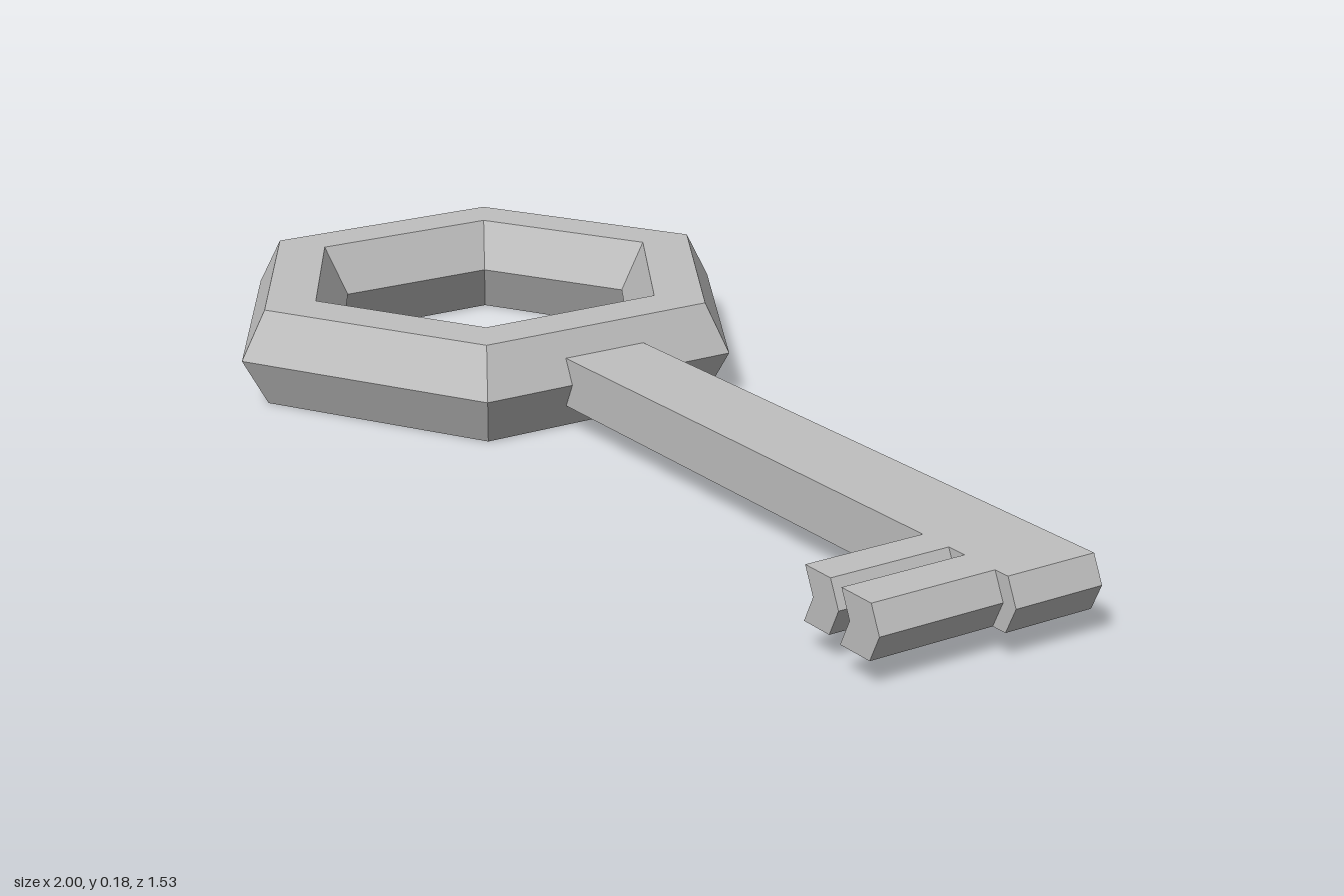
import * as THREE from 'three';

export function createModel() {
  const model = new THREE.Group();
  model.name = 'key';
  const metal = new THREE.MeshStandardMaterial({ color: 0xc0c0c0 });
  metal.name = 'grey metal';

  const addPart = (name, geometry, parent) => {
    const flat = geometry.index ? geometry.toNonIndexed() : geometry;
    flat.computeVertexNormals(); // faceted normals
    const mesh = new THREE.Mesh(flat, metal);
    mesh.name = name;
    parent.add(mesh);
  };

  // Everything is laid out around the centre of the hexagonal bow
  const key = new THREE.Group();
  key.name = 'keyBody';
  key.position.set(-0.483, 0, -0.323);
  model.add(key);

  // Bow: a six-sided ring with a bevelled inner and outer rim
  const profile = [
    [0.467, 0], [0.517, 0.09], [0.467, 0.18],
    [0.362, 0.18], [0.312, 0.09], [0.362, 0], [0.467, 0],
  ].map(([r, y]) => new THREE.Vector2(r, y));
  addPart('bow', new THREE.LatheGeometry(profile, 6, Math.PI / 2), key);

  // Shaft and teeth: one outline, u along the shaft and v towards the teeth
  const w = 0.083;
  const outline = [
    [0.4, -w], [0.4, w],
    [1.445, w], [1.445, 0.303], [1.507, 0.303], [1.507, w],
    [1.544, w], [1.544, 0.311], [1.614, 0.311], [1.614, w],
    [1.643, w], [1.643, -w],
  ].map(([u, v]) => new THREE.Vector2(u, -v));
  const blade = new THREE.ExtrudeGeometry(new THREE.Shape(outline), {
    depth: 0.09, steps: 2, bevelEnabled: false,
  });
  blade.rotateX(-Math.PI / 2);

  // Push the middle layer forward so every end face becomes a chevron
  const pos = blade.attributes.position;
  for (let i = 0; i < pos.count; i++) {
    if (Math.abs(pos.getY(i) - 0.045) < 0.01) pos.setX(i, pos.getX(i) + 0.021);
  }
  blade.translate(0, 0.045, 0);
  blade.rotateY(-Math.PI / 6);
  addPart('shaftAndTeeth', blade, key);

  return model;
}
